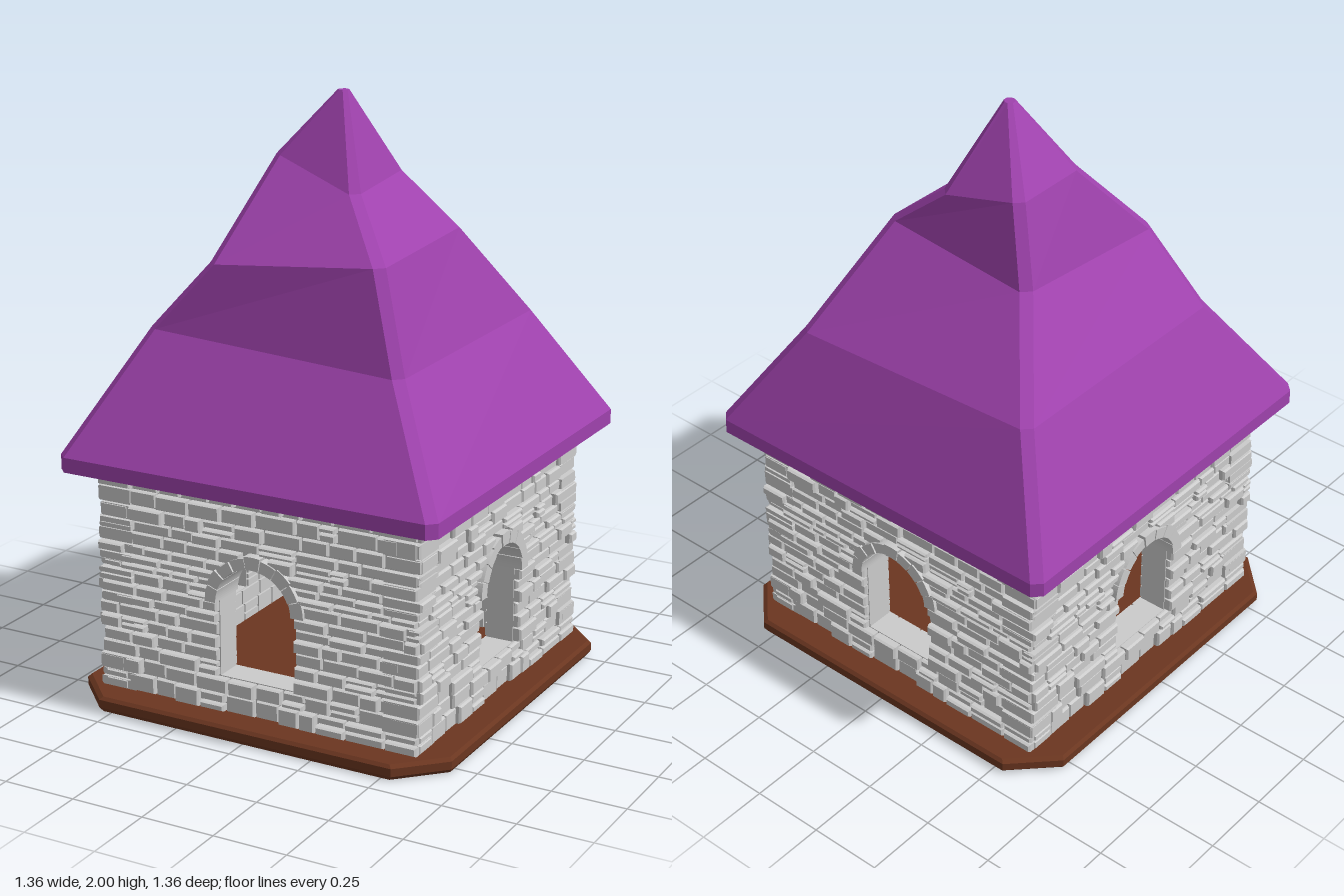
import * as THREE from 'three';
import { mergeGeometries } from 'three/addons/utils/BufferGeometryUtils.js';

const material = (color) => new THREE.MeshStandardMaterial({ color, flatShading: true });

// Seeded random in [a, b]
let seed = 11;
function rand(a, b) {
  seed = (seed * 16807) % 2147483647;
  return a + (b - a) * (seed / 2147483647);
}

// Opening: half width, sill height, height where the arch springs
const HALF = 0.14, SILL = 0.17, SPRING = 0.43;

// Four corners (x, y, z), each cut into two points, counter-clockwise from above
function cutRing(corners, c) {
  const ring = [];
  corners.forEach(([x, y, z], i) => {
    const sx = i === 1 || i === 2 ? 1 : -1, sz = i < 2 ? 1 : -1;
    const alongX = [x - sx * c, y, z], alongZ = [x, y, z - sz * c];
    ring.push(...(i % 2 ? [alongX, alongZ] : [alongZ, alongX]));
  });
  return ring;
}

// Closed solid through a stack of rings, bottom to top
function loft(rings) {
  const pos = [];
  const n = rings[0].length;
  const tri = (a, b, c) => pos.push(...a, ...b, ...c);
  for (let i = 0; i < rings.length - 1; i++) {
    for (let j = 0; j < n; j++) {
      const k = (j + 1) % n, lo = rings[i], hi = rings[i + 1];
      tri(lo[j], lo[k], hi[k]);
      tri(lo[j], hi[k], hi[j]);
    }
  }
  const bottom = rings[0], top = rings[rings.length - 1];
  for (let j = 1; j < n - 1; j++) {
    tri(bottom[0], bottom[j + 1], bottom[j]);
    tri(top[0], top[j], top[j + 1]);
  }
  const g = new THREE.BufferGeometry();
  g.setAttribute('position', new THREE.Float32BufferAttribute(pos, 3));
  g.computeVertexNormals();
  return g;
}

const square = (r, y) => [[-r, y, r], [r, y, r], [r, y, -r], [-r, y, -r]];

// Crooked roof: each tier is shifted and tilted
function roofGeometry() {
  return loft([
    cutRing(square(0.68, 0.81), 0.03),
    cutRing(square(0.68, 0.86), 0.03),
    cutRing([[-0.49, 1.25, 0.42], [0.44, 1.21, 0.44], [0.45, 1.22, -0.51], [-0.49, 1.25, -0.5]], 0.03),
    cutRing([[-0.285, 1.48, 0.385], [0.335, 1.53, 0.37], [0.325, 1.55, -0.215], [-0.27, 1.52, -0.24]], 0.03),
    cutRing([[-0.2, 1.79, 0.11], [0.135, 1.7, 0.16], [0.12, 1.72, -0.2], [-0.19, 1.78, -0.18]], 0.028),
    cutRing(square(0.018, 2), 0.012),
  ]);
}

// One stone from (x0, y0) to (x1, y1) through the wall, outer edges bevelled
function stone(x0, x1, y0, y1) {
  const gap = 0.003, bevel = 0.004, back = 0.462, front = rand(0.577, 0.597);
  const w = x1 - x0 - 2 * gap, h = y1 - y0 - 2 * gap;
  const g = new THREE.BoxGeometry(w, h, front - back, 1, 1, 2);
  const p = g.attributes.position;
  for (let i = 0; i < p.count; i++) {
    if (Math.abs(p.getZ(i)) < 1e-4) p.setZ(i, (front - back) / 2 - 0.008);
    else if (p.getZ(i) > 0) {
      p.setX(i, p.getX(i) - Math.sign(p.getX(i)) * bevel);
      p.setY(i, p.getY(i) - Math.sign(p.getY(i)) * bevel);
    }
  }
  return g.translate((x0 + x1) / 2, (y0 + y1) / 2, (front + back) / 2);
}

// Uneven courses of stones, leaving the arched opening free
function stonesGeometry() {
  const rows = [0.05, 0.115, SILL, 0.22, 0.265, 0.31, 0.355, 0.39, SPRING, 0.475, 0.5,
    0.53, 0.565, 0.61, 0.65, 0.7, 0.755, 0.79, 0.812];
  const parts = [];
  const fill = (a, b, y0, y1) => {
    const h = y1 - y0;
    let x = a;
    while (x < b - 0.001) {
      let end = x + rand(0.06, 0.15);
      if (b - end < 0.04) end = b;
      if (h > 0.04 && rand(0, 1) < 0.22) {
        const mid = y0 + h * rand(0.4, 0.6);
        parts.push(stone(x, end, y0, mid), stone(x, end, mid, y1));
      } else parts.push(stone(x, end, y0, y1));
      x = end;
    }
  };
  for (let i = 0; i < rows.length - 1; i++) {
    const y0 = rows[i], y1 = rows[i + 1], mid = (y0 + y1) / 2;
    const left = -rand(0.575, 0.595), right = rand(0.575, 0.595);
    let open = 0;
    if (mid > SILL && mid < SPRING) open = HALF;
    else if (mid > SPRING) open = Math.sqrt(Math.max(0, 0.165 ** 2 - (mid - SPRING) ** 2));
    if (open > 0) {
      fill(left, -open, y0, y1);
      fill(open, right, y0, y1);
    } else fill(left, right, y0, y1);
  }
  return mergeGeometries(parts);
}

// Mortar core with the arched hole
function mortarGeometry() {
  const s = new THREE.Shape();
  s.moveTo(-0.56, 0.05).lineTo(0.56, 0.05).lineTo(0.56, 0.81).lineTo(-0.56, 0.81).closePath();
  const hole = new THREE.Path();
  hole.moveTo(-HALF, SILL).lineTo(HALF, SILL).lineTo(HALF, SPRING);
  hole.absarc(0, SPRING, HALF, 0, Math.PI, false);
  hole.closePath();
  s.holes.push(hole);
  return new THREE.ExtrudeGeometry(s, { depth: 0.095, bevelEnabled: false, curveSegments: 18 })
    .translate(0, 0, 0.47);
}

// Wedge stones around the arch
function archGeometry() {
  const parts = [], count = 9;
  for (let i = 0; i < count; i++) {
    const a = (i / count) * Math.PI + 0.012, b = ((i + 1) / count) * Math.PI - 0.012;
    const s = new THREE.Shape();
    s.absarc(0, SPRING, rand(0.172, 0.184), a, b, false);
    s.absarc(0, SPRING, HALF - 0.003, b, a, true);
    s.closePath();
    const depth = rand(0.135, 0.143);
    parts.push(new THREE.ExtrudeGeometry(s, { depth, bevelEnabled: false, curveSegments: 3 })
      .translate(0, 0, 0.46));
  }
  return mergeGeometries(parts);
}

export function createModel() {
  seed = 11;
  const model = new THREE.Group();
  model.name = 'stoneHut';
  const add = (parent, name, geometry, mat) => {
    const mesh = new THREE.Mesh(geometry, mat);
    mesh.name = name;
    parent.add(mesh);
  };
  const grey = material(0xcccccc);

  // Wooden floor slab with cut corners
  add(model, 'floor', loft([
    cutRing(square(0.67, 0), 0.14),
    cutRing(square(0.68, 0.015), 0.14),
    cutRing(square(0.68, 0.042), 0.14),
    cutRing(square(0.67, 0.052), 0.14),
  ]), material(0x6b3620));

  // Four equal walls
  const stones = stonesGeometry(), mortar = mortarGeometry(), arch = archGeometry();
  ['frontWall', 'leftWall', 'backWall', 'rightWall'].forEach((name, i) => {
    const wall = new THREE.Group();
    wall.name = name;
    add(wall, 'stones', stones, grey);
    add(wall, 'mortar', mortar, grey);
    add(wall, 'archStones', arch, grey);
    wall.rotation.y = (i * Math.PI) / 2;
    model.add(wall);
  });

  add(model, 'roof', roofGeometry(), material(0x9f42ad));
  return model;
}
